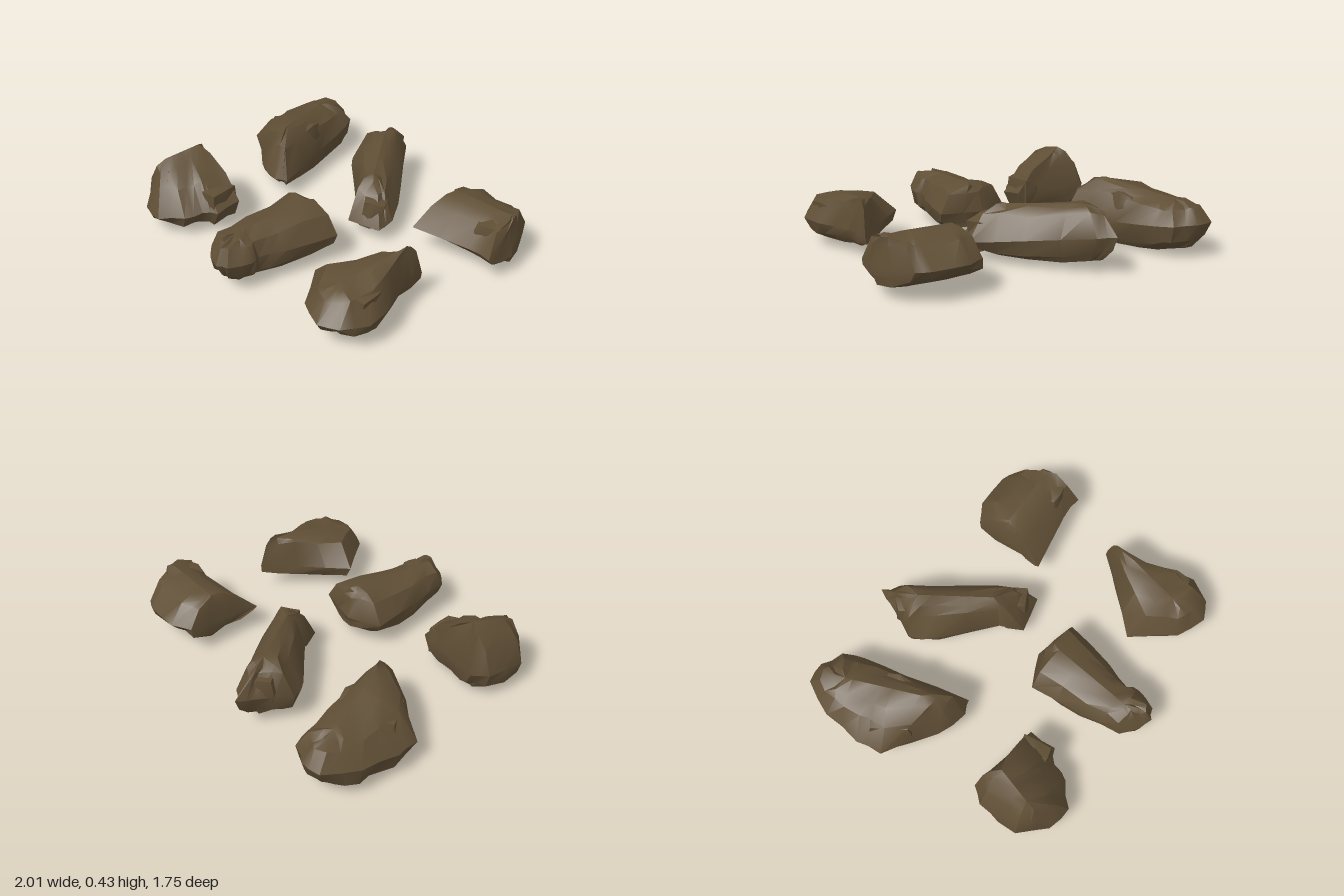
import * as THREE from 'three';
import { mergeVertices, toCreasedNormals } from 'three/addons/utils/BufferGeometryUtils.js';

const stone = new THREE.MeshStandardMaterial({ color: 0x5f4e35 });
stone.name = 'brown stone';

// Seeded values from -0.5 to 0.5
function makeRandom(seed) {
  let s = seed;
  return () => {
    s = (s * 16807) % 2147483647;
    return s / 2147483647 - 0.5;
  };
}

// Closest point to p on the ridge a-b, measured in plan
function onRidge(p, a, b) {
  const dx = b.x - a.x, dz = b.z - a.z;
  const t = ((p.x - a.x) * dx + (p.z - a.z) * dz) / (dx * dx + dz * dz);
  return a.clone().lerp(b, THREE.MathUtils.clamp(t, 0, 1));
}

// Rock body: plan outline [x, z] at the rim height, lofted up to a ridge and down to a rounded belly
function bodyGeometry({ outline, rim, ridge, base, shoulder }, rand) {
  const a = new THREE.Vector3(...ridge[0]), b = new THREE.Vector3(...ridge[1]);
  const zs = outline.map((p) => p[1]);
  const back = Math.min(...zs), front = Math.max(...zs);
  // corners plus roughened midpoints
  const loop = outline.flatMap(([x, z], i) => {
    const [x2, z2] = outline[(i + 1) % outline.length];
    return [[x, z], [(x + x2) / 2 + rand() * 0.02, (z + z2) / 2 + rand() * 0.02]];
  });
  // each level: inset towards the ridge, height above (+) or below (-) the rim
  const [inset, rise] = shoulder;
  const levels = [[1, -1], [0.4, -0.95], [0.11, -0.6], [0, 0], [inset, rise],
    [(inset + 1) / 2, (rise + 1) / 2 + 0.06], [1, 1]];
  const n = loop.length;
  const position = [], index = [];
  for (const [k, h] of levels) {
    for (const [x, z] of loop) {
      const y = THREE.MathUtils.mapLinear(z, back, front, rim[0], rim[1]);
      const p = new THREE.Vector3(x, y, z);
      const q = onRidge(p, a, b);
      p.lerp(q, k);
      // the belly lifts towards both ends
      const end = THREE.MathUtils.mapLinear(p.z, back, front, -1, 1);
      const floor = base + 0.06 * end * end;
      p.y = h < 0 ? y + (y - floor) * h : y + (q.y - y) * h;
      if (k > 0 && k < 1) {
        p.x += rand() * 0.03;
        p.y += h < -0.9 ? Math.abs(rand()) * 0.02 : rand() * 0.03;
        p.z += rand() * 0.03;
      }
      position.push(p.x, p.y, p.z);
    }
  }
  for (let i = 0; i < levels.length - 1; i++) {
    for (let j = 0; j < n; j++) {
      const p = i * n + j, q = i * n + (j + 1) % n;
      index.push(p, p + n, q, q, p + n, q + n);
    }
  }
  const geo = new THREE.BufferGeometry();
  geo.setAttribute('position', new THREE.Float32BufferAttribute(position, 3));
  geo.setIndex(index);
  return toCreasedNormals(geo, 0.6);
}

// Angular fragment breaking through a rock's surface: a box with worn, uneven corners
function chunkGeometry([x, y, z, size, turn], rand) {
  const box = new THREE.BoxGeometry(1, 1, 1, 2, 2, 2);
  box.deleteAttribute('uv');
  box.deleteAttribute('normal');
  const geo = mergeVertices(box);
  const pos = geo.attributes.position, v = new THREE.Vector3();
  for (let i = 0; i < pos.count; i++) {
    v.fromBufferAttribute(pos, i);
    v.multiplyScalar((1.2 - 0.5 * v.length()) * (1 + rand() * 0.2));
    pos.setXYZ(i, v.x, v.y, v.z);
  }
  geo.scale(size, 0.2, size * 1.25).rotateZ(rand() * 0.4).rotateY(turn).translate(x, y, z);
  return toCreasedNormals(geo, 0.6);
}

function makeRock(name, seed, shape, chunks) {
  const rand = makeRandom(seed);
  const rock = new THREE.Group();
  rock.name = name;
  const body = new THREE.Mesh(bodyGeometry(shape, rand), stone);
  body.name = 'body';
  rock.add(body);
  for (const chunk of chunks) {
    const mesh = new THREE.Mesh(chunkGeometry(chunk, rand), stone);
    mesh.name = 'chunk';
    rock.add(mesh);
  }
  return rock;
}

export function createModel() {
  const model = new THREE.Group();
  model.name = 'rocks';

  // Back row
  model.add(makeRock('backRightRock', 1101, {
    outline: [[-0.75, -0.88], [-0.63, -0.82], [-0.58, -0.7], [-0.53, -0.45], [-0.44, -0.07],
      [-0.52, -0.04], [-0.7, -0.1], [-0.98, -0.3], [-1, -0.45], [-0.97, -0.68], [-0.87, -0.87]],
    rim: [0.2, 0.11], ridge: [[-0.76, 0.31, -0.68], [-0.62, 0.37, -0.25]],
    base: 0, shoulder: [0.36, 0.68]
  }, [[-0.63, 0.22, -0.42, 0.16, 0.2], [-0.78, 0.19, -0.35, 0.22, 0.5]]));

  model.add(makeRock('backMiddleRock', 2303, {
    outline: [[-0.19, -0.86], [-0.11, -0.79], [0.14, -0.46], [0.31, -0.2], [0.31, -0.09],
      [0.1, -0.05], [0.04, -0.18], [-0.25, -0.44], [-0.33, -0.57], [-0.23, -0.77]],
    rim: [0.22, 0.09], ridge: [[-0.14, 0.36, -0.62], [0.1, 0.32, -0.26]],
    base: 0.03, shoulder: [0.4, 0.74]
  }, [[-0.17, 0.21, -0.64, 0.17, 0.6], [0.19, 0.15, -0.18, 0.15, 0.5]]));

  model.add(makeRock('backLeftRock', 3705, {
    outline: [[0.62, -0.7], [0.83, -0.69], [0.91, -0.65], [1, -0.4], [0.98, -0.23], [0.83, -0.24],
      [0.47, -0.19], [0.5, -0.4], [0.51, -0.64]],
    rim: [0.18, 0.15], ridge: [[0.56, 0.32, -0.46], [0.95, 0.33, -0.45]],
    base: 0.06, shoulder: [0.4, 0.7]
  }, [[0.88, 0.21, -0.4, 0.18, 0.1]]));

  // Front row
  model.add(makeRock('frontRightRock', 4107, {
    outline: [[-0.84, 0.25], [-0.58, 0.31], [-0.41, 0.34], [-0.41, 0.5], [-0.49, 0.55],
      [-0.53, 0.65], [-0.65, 0.75], [-0.8, 0.72], [-0.93, 0.58], [-0.91, 0.33]],
    rim: [0.18, 0.12], ridge: [[-0.73, 0.43, 0.36], [-0.79, 0.39, 0.56]],
    base: 0.01, shoulder: [0.36, 0.56]
  }, [[-0.52, 0.17, 0.42, 0.17, 0.1]]));

  model.add(makeRock('frontMiddleRock', 5909, {
    outline: [[0, 0.12], [0.25, 0.19], [0.17, 0.5], [0.11, 0.65], [0.13, 0.72], [0.08, 0.84],
      [0.02, 0.87], [-0.06, 0.84], [-0.15, 0.76], [-0.17, 0.51], [-0.19, 0.2]],
    rim: [0.17, 0.19], ridge: [[0.04, 0.33, 0.22], [-0.02, 0.3, 0.7]],
    base: 0.03, shoulder: [0.3, 0.74]
  }, []));

  model.add(makeRock('frontLeftRock', 7111, {
    outline: [[0.79, 0.1], [0.81, 0.27], [0.89, 0.48], [0.91, 0.63], [0.83, 0.76],
      [0.72, 0.81], [0.55, 0.73], [0.38, 0.49], [0.62, 0.27]],
    rim: [0.15, 0.16], ridge: [[0.76, 0.35, 0.2], [0.68, 0.29, 0.6]],
    base: 0.04, shoulder: [0.4, 0.8]
  }, [[0.77, 0.19, 0.54, 0.18, 0.1]]));

  return model;
}
